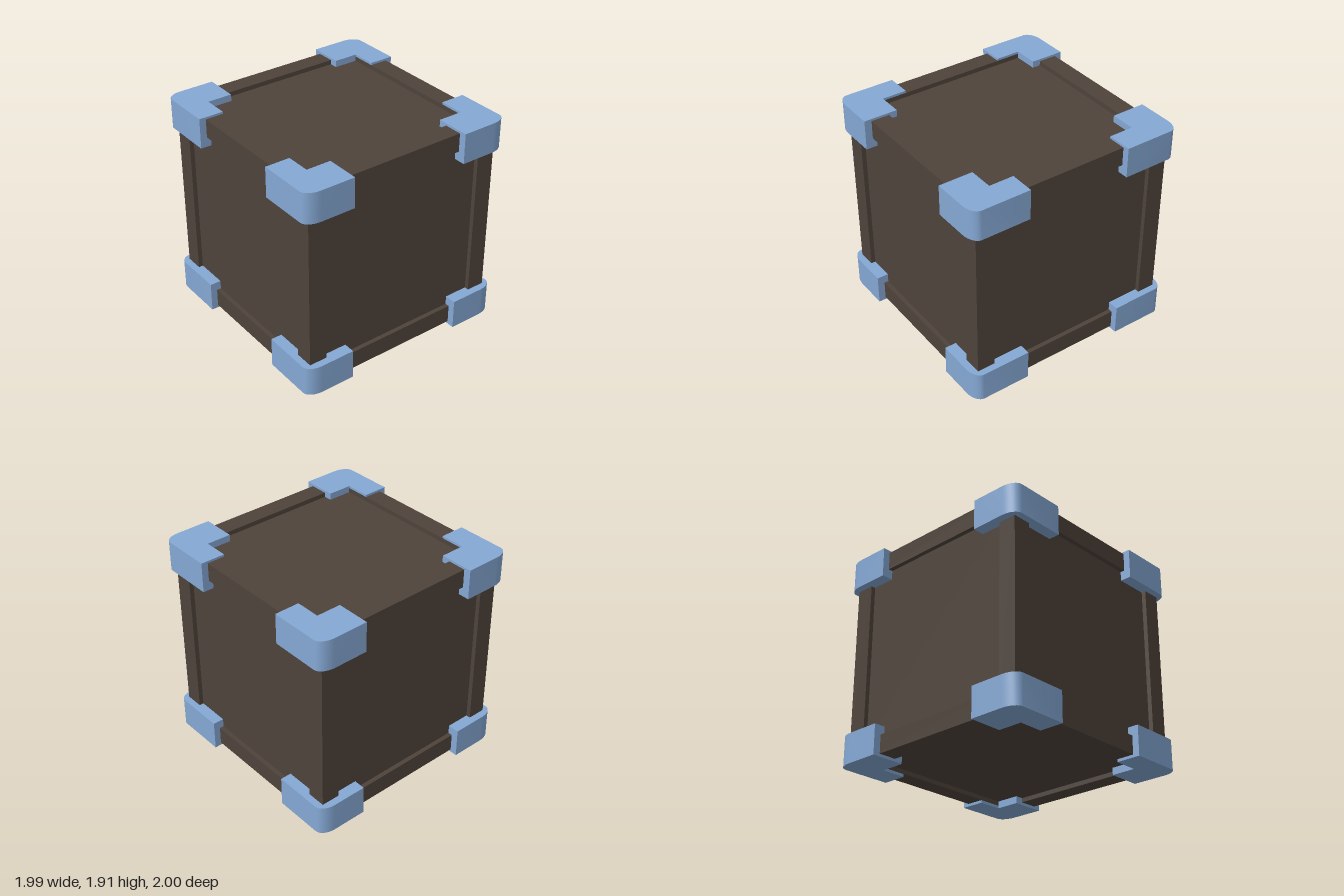
import * as THREE from 'three';
import { toCreasedNormals } from 'three/addons/utils/BufferGeometryUtils.js';

const wood = new THREE.MeshStandardMaterial({ color: 0x4e433b });
const blue = new THREE.MeshStandardMaterial({ color: 0x85a8d4 });

const HALF = 0.935;           // outer half width of the frame
const Y0 = 0.025, Y1 = 1.895; // bottom and top of the frame
const BEAM = 0.165;           // beam thickness
const RECESS = 0.04;          // how far the panels sit back

// L-shaped corner guard for the +x +z corner, lying in plan and extruded upwards
function cornerGeometry(height) {
  const X = 0.995, Z = 1, rx = 0.135, rz = 0.085;
  const s = new THREE.Shape();
  s.moveTo(0.55, Z);
  s.lineTo(0.55, 0.695);
  s.lineTo(0.772, 0.695);
  s.lineTo(0.772, 0.473);
  s.lineTo(X, 0.473);
  s.lineTo(X, Z - rz);
  s.absellipse(X - rx, Z - rz, rx, rz, 0, Math.PI / 2, false, 0);
  s.closePath();
  const g = new THREE.ExtrudeGeometry(s, { depth: height, bevelEnabled: false, curveSegments: 4 });
  g.rotateX(Math.PI / 2); // shape y becomes z, depth runs downwards
  g.translate(0, height, 0);
  return toCreasedNormals(g, 0.8);
}

export function createModel() {
  const model = new THREE.Group();
  model.name = 'crate';

  const addBox = (name, w, h, d, x, y, z) => {
    const m = new THREE.Mesh(new THREE.BoxGeometry(w, h, d), wood);
    m.name = name;
    m.position.set(x, y, z);
    model.add(m);
  };

  // recessed panels on all six sides
  const midY = (Y0 + Y1) / 2;
  const inner = 2 * (HALF - RECESS);
  addBox('panels', inner, Y1 - Y0 - 2 * RECESS, inner, 0, midY, 0);

  // frame: four posts, then beams between them at top and bottom
  const c = HALF - BEAM / 2;
  const span = 2 * (HALF - BEAM);
  for (const a of [-1, 1]) {
    for (const b of [-1, 1]) {
      addBox('post', BEAM, Y1 - Y0, BEAM, a * c, midY, b * c);
      const y = b > 0 ? Y1 - BEAM / 2 : Y0 + BEAM / 2;
      addBox('crossBeam', span, BEAM, BEAM, 0, y, a * c);
      addBox('sideBeam', BEAM, BEAM, span, a * c, y, 0);
    }
  }

  // eight corner guards, mirrored to every corner
  const guard = cornerGeometry(0.27);
  for (const y of [0, 1.645]) {
    for (const sx of [-1, 1]) {
      for (const sz of [-1, 1]) {
        const m = new THREE.Mesh(guard, blue);
        m.name = 'cornerGuard';
        m.scale.set(sx, 1, sz);
        m.position.y = y;
        model.add(m);
      }
    }
  }
  return model;
}
